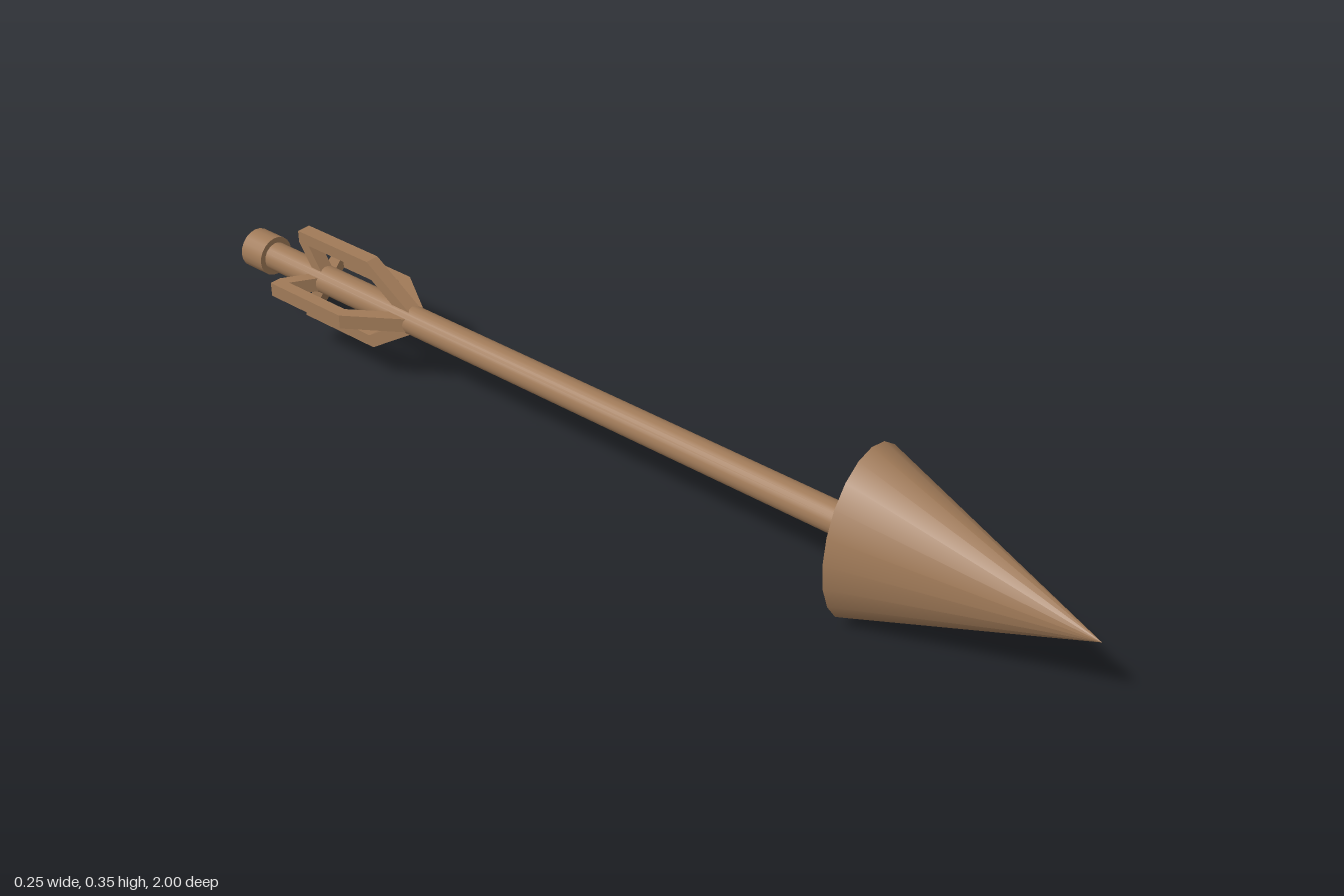
import * as THREE from 'three';

const AXIS_Y = 0.1775;
const SIDES = 20;

export function createModel() {
  const wood = new THREE.MeshStandardMaterial({ color: 0xa07a58 });
  wood.name = 'brownWood';

  // Everything is built around the z axis, then lifted to its height
  const arrow = new THREE.Group();
  arrow.name = 'arrow';
  arrow.position.y = AXIS_Y;

  const add = (name, geometry, parent = arrow) => {
    const mesh = new THREE.Mesh(geometry, wood);
    mesh.name = name;
    parent.add(mesh);
    return mesh;
  };

  // Cylinder or cone lying along z, from zBack to zFront
  const rod = (rFront, rBack, zBack, zFront) =>
    new THREE.CylinderGeometry(rFront, rBack, zFront - zBack, SIDES)
      .rotateX(Math.PI / 2)
      .translate(0, 0, (zFront + zBack) / 2);

  // Flattened conical head, shaft and rear nock
  add('head', rod(0, 1, 0.547, 1).scale(0.125, 0.1755, 1));
  add('shaft', rod(0.03, 0.03, -0.97, 0.56));
  add('nock', rod(0.042, 0.042, -1, -0.94));

  // Open fletching frame as [radius, z]: three bars joined to the shaft
  const outline = [
    [0.02, -0.522], [0.1, -0.643], [0.1, -0.843], [0.075, -0.843],
    [0.015, -0.805], [0.015, -0.777], [0.075, -0.815],
    [0.075, -0.652], [0.02, -0.57],
  ];
  const vane = new THREE.ExtrudeGeometry(
    new THREE.Shape(outline.map(([r, z]) => new THREE.Vector2(r, z))),
    { depth: 0.03, bevelEnabled: false },
  );
  vane.translate(0, 0, -0.015).rotateX(Math.PI / 2);

  // Four frames around the shaft
  const fletching = new THREE.Group();
  fletching.name = 'fletching';
  arrow.add(fletching);
  for (let i = 0; i < 4; i++) {
    add('vane' + (i + 1), vane, fletching).rotation.z = (i * Math.PI) / 2;
  }

  const model = new THREE.Group();
  model.add(arrow);
  return model;
}
